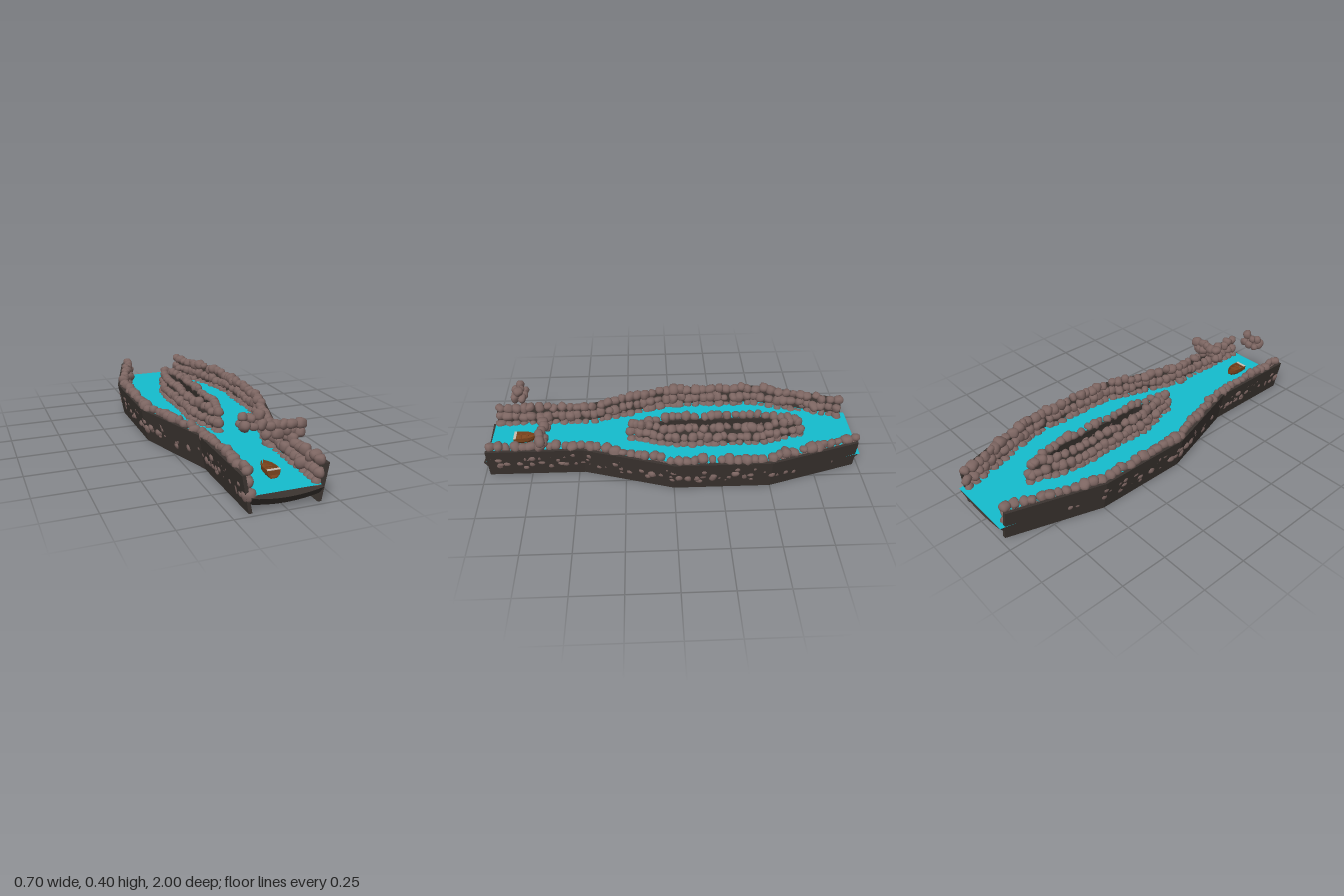
import * as THREE from 'three';
import { mergeGeometries, mergeVertices } from 'three/addons/utils/BufferGeometryUtils.js';

let seed = 7;
const rnd = (a = 0, b = 1) => {
  seed = (seed * 16807) % 2147483647;
  return a + (b - a) * seed / 2147483647;
};
const V = (x, y, z) => new THREE.Vector3(x, y, z);
const mat = (color, side = THREE.FrontSide) => new THREE.MeshStandardMaterial({ color, side });
const ROCK = mat(0x7c6561), STONE = mat(0x3b3430), WATER = mat(0x14bccd, THREE.DoubleSide);
const WOOD = mat(0x7d451d), TRIM = mat(0xc9beb2);

function add(parent, name, geometry, material) {
  const mesh = new THREE.Mesh(geometry, material);
  mesh.name = name;
  parent.add(mesh);
  return mesh;
}

// Flat-shaded solid through rings of Vector3; ends are closed by pairing the two halves of a ring
function loft(rings, caps = true) {
  const tris = [], n = rings[0].length;
  const quad = (a, b, c, d) => tris.push([a, b, c], [a, c, d]);
  for (let r = 0; r < rings.length - 1; r++)
    for (let i = 0; i < n; i++) {
      const j = (i + 1) % n;
      quad(rings[r][i], rings[r][j], rings[r + 1][j], rings[r + 1][i]);
    }
  if (caps)
    for (let i = 0; i < n / 2 - 1; i++) {
      const a = rings[0], b = rings[rings.length - 1];
      quad(a[n - 1 - i], a[n - 2 - i], a[i + 1], a[i]);
      quad(b[i], b[i + 1], b[n - 2 - i], b[n - 1 - i]);
    }
  // turn the faces outward
  const volume = tris.reduce((s, [a, b, c]) => s + a.dot(b.clone().cross(c)), 0);
  const pts = tris.flatMap(([a, b, c]) => (volume < 0 ? [a, c, b] : [a, b, c]));
  const g = new THREE.BufferGeometry().setFromPoints(pts);
  g.computeVertexNormals();
  return g;
}

// One boulder: a sphere pushed towards a box, dented by waves
function rock(p, r, stretch = V(1, 1, 1)) {
  let g = new THREE.IcosahedronGeometry(1, 2);
  g.deleteAttribute('normal');
  g.deleteAttribute('uv');
  g = mergeVertices(g, 1e-3);
  const pos = g.attributes.position, v = V(0, 0, 0);
  const a = rnd(0, 6), b = rnd(0, 6), c = rnd(0, 6);
  for (let i = 0; i < pos.count; i++) {
    v.fromBufferAttribute(pos, i);
    const box = Math.pow(v.x ** 4 + v.y ** 4 + v.z ** 4, -0.16);
    const wave = Math.sin(2.3 * v.x + a) + Math.sin(2.6 * v.y + b) + Math.sin(2.1 * v.z + c);
    v.multiplyScalar(box * (0.93 + 0.07 * wave));
    pos.setXYZ(i, v.x, v.y, v.z);
  }
  g.scale(rnd(0.85, 1.15), rnd(0.85, 1.1), rnd(0.9, 1.2));
  g.rotateX(rnd(-0.5, 0.5)).rotateY(rnd(0, 6)).rotateZ(rnd(-0.5, 0.5));
  g.scale(r * stretch.x, r * stretch.y, r * stretch.z).translate(p.x, p.y, p.z);
  g.computeVertexNormals();
  return g;
}

// Boulders spaced along a polyline
function rockRow(points, step, size, stretch) {
  const path = new THREE.CurvePath();
  for (let i = 1; i < points.length; i++) path.add(new THREE.LineCurve3(points[i - 1], points[i]));
  const n = Math.round(path.getLength() / step);
  return path.getSpacedPoints(n).map(p => {
    p.add(V(rnd(-0.005, 0.005), rnd(-0.008, 0.008), rnd(-0.008, 0.008)));
    return rock(p, size * rnd(0.85, 1.15), stretch);
  });
}

// Outer wall line: z and half width of the outer top edge
const BANK = [[0.975, 0.205], [0.47, 0.205], [0, 0.35], [-0.5, 0.35], [-0.975, 0.203]];
const TOP = 0.176, LEAN = 0.033;
const bankLine = (side, y, inset, cut = 0) => BANK.map(([z, x]) =>
  V(side * (x - LEAN * (1 - y / TOP) - inset), y, z * (1 - cut)));

// Long hexagon of the island with pointed ends
const islandHex = (x, tip, y) => [V(0, y, -0.25 + tip), V(x, y, 0), V(x, y, -0.5),
  V(0, y, -0.25 - tip), V(-x, y, -0.5), V(-x, y, 0), V(0, y, -0.25 + tip)];

function buildBank(name, side) {
  const bank = new THREE.Group();
  bank.name = name;
  const edges = [bankLine(side, 0, 0), bankLine(side, TOP, 0), bankLine(side, TOP, 0.017), bankLine(side, 0, 0.017)];
  add(bank, 'bankWall', loft(BANK.map((_, i) => edges.map(e => e[i]))), STONE);
  const rows = [0.078, 0.13, 0.183].flatMap((y, i) =>
    rockRow(bankLine(side, Math.min(y, TOP), [0.026, 0.03, 0.034][i], 0.022).map(p => p.setY(y)), 0.043, 0.0255));
  add(bank, 'bankRocks', mergeGeometries(rows), ROCK);
  // small stones showing through the outer face
  const studs = [[0.06, 0.13], [0.085, 0.11], [0.11, 0.16]].flatMap(([y, step]) =>
    rockRow(bankLine(side, y, 0.006, 0.06), step, 0.014, V(0.7, 1, 1.4)));
  add(bank, 'wallStones', mergeGeometries(studs), ROCK);
  return bank;
}

function buildIsland() {
  const island = new THREE.Group();
  island.name = 'island';
  const edges = [islandHex(0.08, 0.47, 0), islandHex(0.045, 0.43, TOP), islandHex(0.03, 0.37, TOP), islandHex(0.063, 0.43, 0)];
  add(island, 'islandWall', loft(edges[0].map((_, i) => edges.map(e => e[i])), false), STONE);
  const rows = [[0.08, 0.064, 0.475], [0.13, 0.062, 0.47], [0.185, 0.051, 0.455]].flatMap(([y, x, tip]) =>
    rockRow(islandHex(x, tip, y), 0.043, 0.0245));
  add(island, 'islandRocks', mergeGeometries(rows), ROCK);
  return island;
}

// Curved channel floor, one half each side of the island opening: z, inner and outer half width
function bedHalf(side) {
  const stations = [[0.99, 0, 0.167], [0.47, 0, 0.172], [0.2, 0, 0.255], [0, 0.066, 0.318],
    [-0.5, 0.066, 0.318], [-0.7, 0, 0.255], [-0.99, 0, 0.172]];
  return loft(stations.map(([z, a, b]) => {
    const top = [], bottom = [];
    for (let i = 0; i <= 6; i++) {
      const x = a + (b - a) * i / 6, rise = 0.018 * (x / b) ** 2;
      top.push(V(side * x, 0.061 + rise, z + 0.01 * Math.sign(z)));
      bottom.unshift(V(side * x, 0.022 + rise, Math.abs(z) > 0.9 ? z - 0.02 * Math.sign(z) : z));
    }
    return [...top, ...bottom];
  }));
}

function waterSheet() {
  const half = [[0.165, 0.985], [0.172, 0.47], [0.318, 0], [0.318, -0.5], [0.19, -0.97], [0.185, -1]];
  const outline = [...half, ...half.map(([x, z]) => [-x, z]).reverse()];
  const shape = new THREE.Shape(outline.map(([x, z]) => new THREE.Vector2(x, -z)));
  shape.holes.push(new THREE.Path(islandHex(0.055, 0.43, 0).map(p => new THREE.Vector2(p.x, -p.z))));
  return new THREE.ShapeGeometry(shape).rotateX(-Math.PI / 2).translate(0, 0.085, 0);
}

function buildBoat() {
  const boat = new THREE.Group();
  boat.name = 'boat';
  // hull stations: z, half width, keel height
  const hull = [[0.858, 0.032, 0.084], [0.81, 0.033, 0.083], [0.78, 0.028, 0.085], [0.757, 0.017, 0.092], [0.74, 0.004, 0.104]];
  add(boat, 'hull', loft(hull.map(([z, w, k]) => {
    const section = (s, floor) => [[-1, 0.126], [-0.9, floor + 0.018], [-0.45, floor], [0.45, floor], [0.9, floor + 0.018], [1, 0.126]]
      .map(([x, y]) => V(x * w * s, y, z));
    return [...section(1, k), ...section(0.84, k + 0.006).reverse()];
  })), WOOD);
  add(boat, 'transom', new THREE.BoxGeometry(0.054, 0.024, 0.004).translate(0, 0.113, 0.855), WOOD);
  add(boat, 'transomRim', new THREE.BoxGeometry(0.064, 0.003, 0.014).translate(0, 0.1255, 0.852), TRIM);
  for (const z of [0.825, 0.79])
    add(boat, 'seat', new THREE.BoxGeometry(0.05, 0.004, 0.012).translate(0, 0.115, z), WOOD);
  return boat;
}

export function createModel() {
  const model = new THREE.Group();
  model.name = 'riverCourse';
  model.add(buildBank('leftBank', 1), buildBank('rightBank', -1), buildIsland(), buildBoat());
  add(model, 'leftBed', bedHalf(1), STONE);
  add(model, 'rightBed', bedHalf(-1), STONE);
  add(model, 'water', waterSheet(), WATER);

  // Overhanging boulders on the left bank and a floating clump opposite: x, y, z, radius
  const overhang = [[0.05, 0.218, 0.67, 0.025], [0.06, 0.26, 0.68, 0.027], [0.098, 0.225, 0.69, 0.028], [0.098, 0.26, 0.67, 0.025],
    [0.13, 0.257, 0.68, 0.024], [0.155, 0.225, 0.67, 0.024], [0.172, 0.26, 0.69, 0.026], [0.185, 0.22, 0.67, 0.027],
    [0.213, 0.215, 0.69, 0.027], [0.222, 0.257, 0.68, 0.028]];
  const floating = [[-0.136, 0.371, 0.81, 0.024], [-0.133, 0.333, 0.832, 0.026], [-0.132, 0.33, 0.79, 0.023], [-0.098, 0.358, 0.81, 0.024],
    [-0.092, 0.328, 0.835, 0.023], [-0.095, 0.328, 0.79, 0.022], [-0.057, 0.369, 0.81, 0.026], [-0.056, 0.335, 0.832, 0.024],
    [-0.056, 0.33, 0.792, 0.022]];
  const clump = list => mergeGeometries(list.map(([x, y, z, r]) => rock(V(x, y, z), r)));
  add(model, 'overhangRocks', clump(overhang), ROCK);
  add(model, 'floatingRocks', clump(floating), ROCK);
  return model;
}
